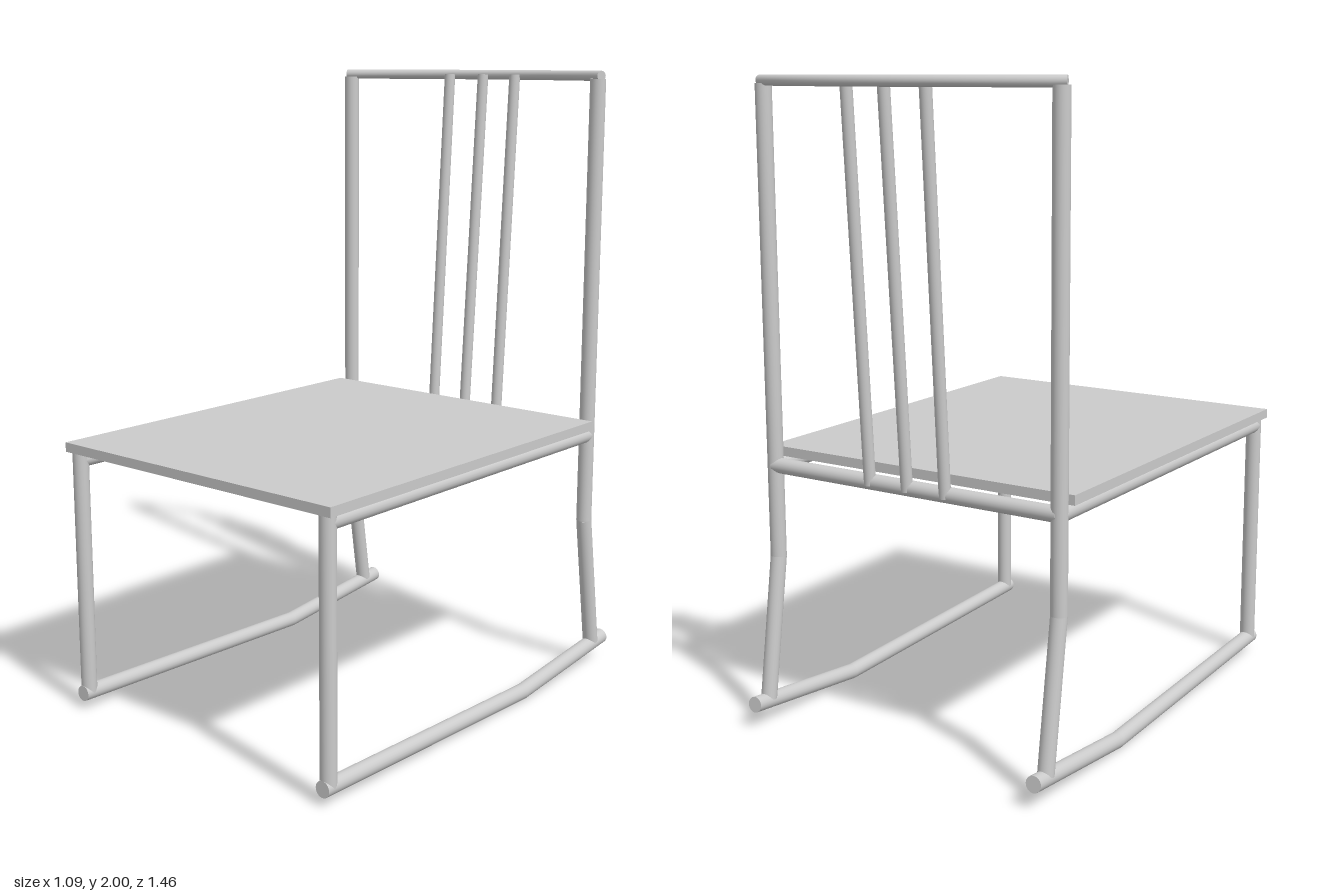
import * as THREE from 'three';

const material = new THREE.MeshStandardMaterial({ color: 0xcccccc });

function add(parent, name, geometry, position) {
  const mesh = new THREE.Mesh(geometry, material);
  mesh.name = name;
  if (position) mesh.position.copy(position);
  parent.add(mesh);
  return mesh;
}

// Round bar with flat ends between two points
function rod(parent, name, from, to, radius) {
  const a = new THREE.Vector3(...from), b = new THREE.Vector3(...to);
  const dir = b.clone().sub(a);
  const mesh = add(parent, name, new THREE.CylinderGeometry(radius, radius, dir.length(), 20),
    a.clone().add(b).multiplyScalar(0.5));
  mesh.quaternion.setFromUnitVectors(new THREE.Vector3(0, 1, 0), dir.normalize());
}

// Bar through several points, with rounded elbows at the bends
function bentRod(parent, name, points, radius) {
  const group = new THREE.Group();
  group.name = name;
  parent.add(group);
  for (let i = 1; i < points.length; i++) {
    rod(group, name + 'Section', points[i - 1], points[i], radius);
    if (i < points.length - 1) {
      add(group, name + 'Elbow', new THREE.SphereGeometry(radius, 20, 12), new THREE.Vector3(...points[i]));
    }
  }
}

export function createModel() {
  const chair = new THREE.Group();
  chair.name = 'rockingChair';
  const R = 0.025, X = 0.51;

  // Seat board
  add(chair, 'seat', new THREE.BoxGeometry(1.09, 0.03, 1.3), new THREE.Vector3(0, 0.861, 0.079));

  // Side frames: runner, front leg, bent back post and seat rail
  for (const [side, x] of [['left', X], ['right', -X]]) {
    const frame = new THREE.Group();
    frame.name = side + 'Frame';
    chair.add(frame);
    bentRod(frame, 'runner', [[x, 0.055, 0.726], [x, 0.028, -0.25], [x, 0.08, -0.728]], R);
    rod(frame, 'frontLeg', [x, 0.055, 0.7], [x, 0.846, 0.7], R);
    bentRod(frame, 'backPost', [[x, 0.08, -0.662], [x, 0.53, -0.595], [x, 1.975, -0.595]], R);
    rod(frame, 'seatRail', [x, 0.822, 0.7], [x, 0.822, -0.595], R);
  }

  // Rear rail under the seat
  rod(chair, 'rearRail', [-X, 0.822, -0.597], [X, 0.822, -0.597], 0.024);

  // Leaning back spindles
  for (const x of [-0.135, 0, 0.135]) {
    rod(chair, 'spindle', [x, 0.815, -0.606], [x, 1.985, x ? -0.678 : -0.685], 0.018);
  }

  // Curved top rail: a shallow arc bowing backwards
  const half = 0.525, depth = 0.115, arcR = (half * half + depth * depth) / (2 * depth);
  const points = [];
  for (let i = 0; i <= 16; i++) {
    const x = half * (i / 8 - 1);
    points.push(new THREE.Vector3(x, 1.984, -0.705 + arcR - Math.sqrt(arcR * arcR - x * x)));
  }
  const curve = new THREE.CatmullRomCurve3(points);
  add(chair, 'topRail', new THREE.TubeGeometry(curve, 48, 0.016, 16));
  for (const t of [0, 1]) {
    const cap = add(chair, 'topRailEnd', new THREE.CircleGeometry(0.016, 16), curve.getPointAt(t));
    const outward = curve.getTangentAt(t).multiplyScalar(t ? 1 : -1);
    cap.quaternion.setFromUnitVectors(new THREE.Vector3(0, 0, 1), outward);
  }
  return chair;
}
